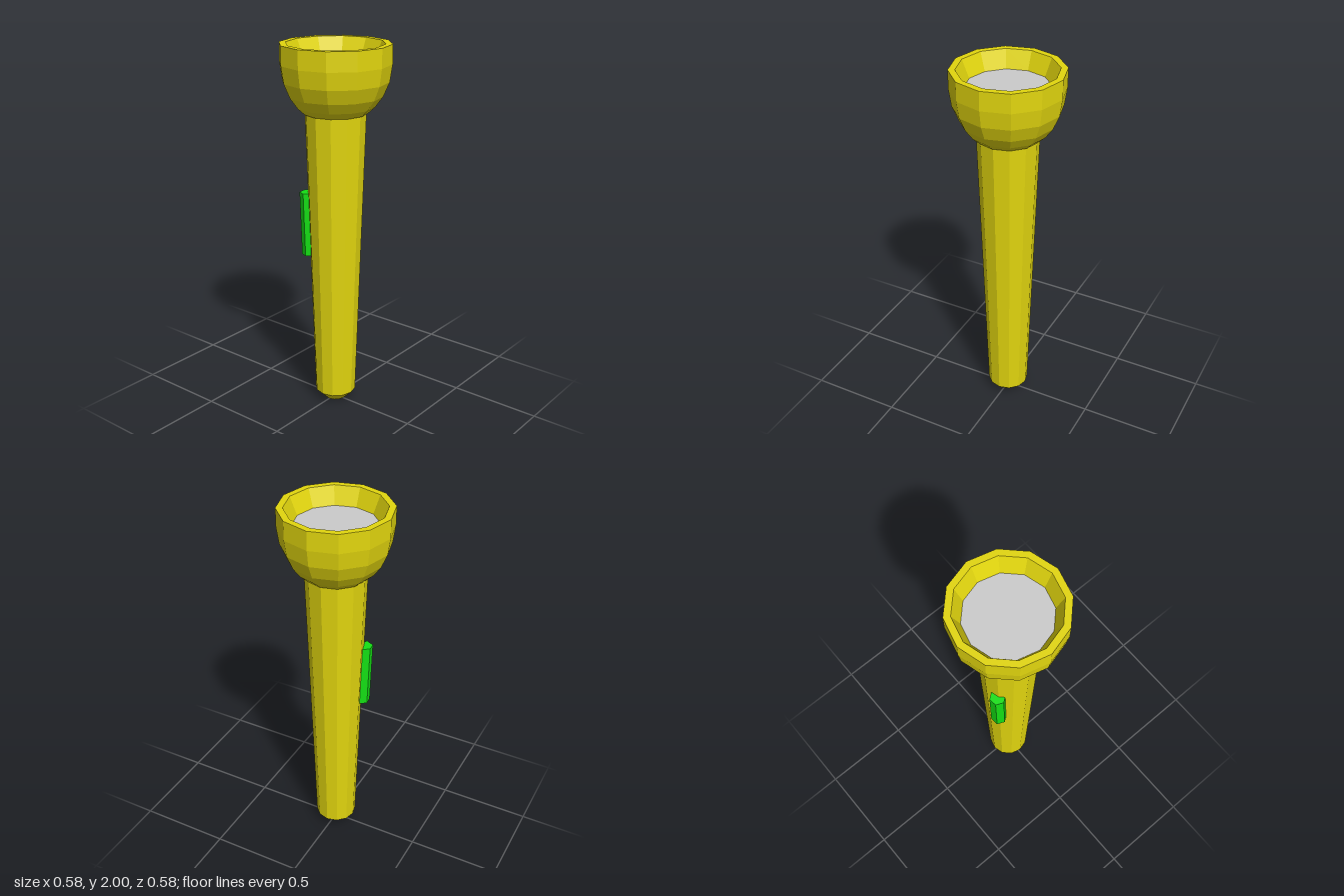
import * as THREE from 'three';

const SIDES = 12;

function material(color) {
  return new THREE.MeshStandardMaterial({ color, flatShading: true });
}

function part(name, geometry, mat) {
  const mesh = new THREE.Mesh(geometry, mat);
  mesh.name = name;
  return mesh;
}

// Faceted turned shape from [radius, height] pairs, listed bottom to top on the outside
function turned(points) {
  return new THREE.LatheGeometry(points.map(([r, y]) => new THREE.Vector2(r, y)), SIDES);
}

export function createModel() {
  const group = new THREE.Group();
  group.name = 'flashlight';
  const yellow = material(0xe2d60e);
  const green = material(0x14e014);
  const grey = material(0xcccccc);

  // Tapered handle with a chamfered tail
  group.add(part('handle', turned([
    [0, 0], [0.055, 0], [0.112, 0.055], [0.161, 1.65],
  ]), yellow));

  // Bowl-shaped head, flat rim and sloping inner wall
  group.add(part('head', turned([
    [0.15, 1.645], [0.167, 1.645], [0.205, 1.68], [0.245, 1.735], [0.277, 1.81],
    [0.29, 1.9], [0.29, 2], [0.255, 2], [0.216, 1.907],
  ]), yellow));

  // Lens disc closing the bottom of the recess
  const lens = new THREE.CircleGeometry(0.216, SIDES).rotateX(-Math.PI / 2);
  lens.translate(0, 1.907, 0);
  group.add(part('lens', lens, grey));

  // Six-sided switch half sunk into the handle and leaning with its taper
  const bottom = new THREE.Vector3(-0.123, 0.857, 0.067);
  const top = new THREE.Vector3(-0.132, 1.21, 0.072);
  const axis = top.clone().sub(bottom);
  const button = part('switch', new THREE.CylinderGeometry(0.0435, 0.0435, axis.length(), 6)
    .rotateY(THREE.MathUtils.degToRad(6)), green);
  button.position.copy(bottom).add(top).multiplyScalar(0.5);
  button.quaternion.setFromUnitVectors(new THREE.Vector3(0, 1, 0), axis.normalize());
  group.add(button);

  return group;
}
